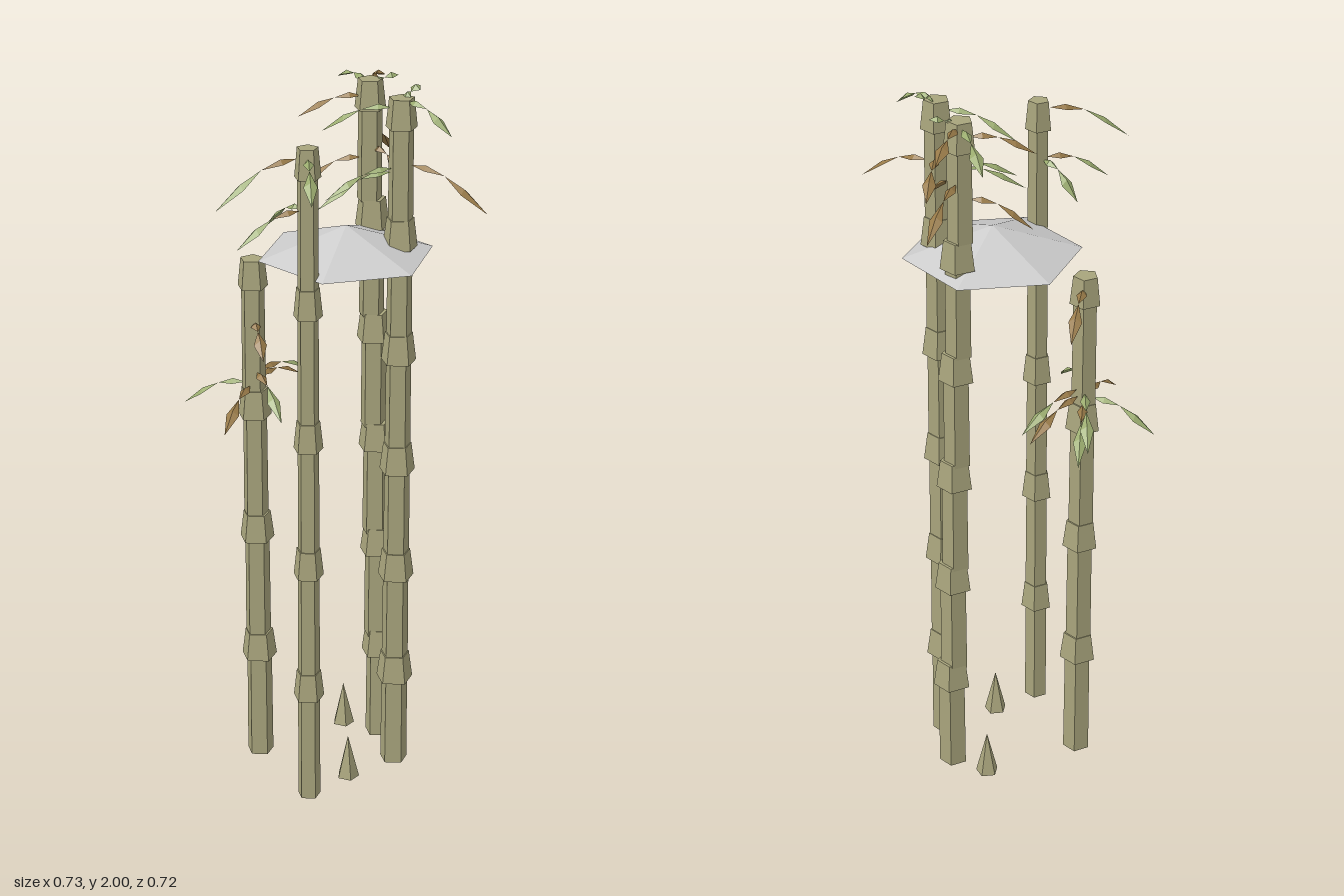
import * as THREE from 'three';

const mat = (color, side = THREE.FrontSide) =>
  new THREE.MeshStandardMaterial({ color, flatShading: true, side });
const stalkMat = mat(0xa8a47c);
const leafMats = {
  g: mat(0x9aab6e, THREE.DoubleSide),
  b: mat(0x987a48, THREE.DoubleSide),
};
const V = (x, y, z) => new THREE.Vector3(x, y, z);

function add(parent, name, geometry, material, x = 0, y = 0, z = 0) {
  const mesh = new THREE.Mesh(geometry, material);
  mesh.name = name;
  mesh.position.set(x, y, z);
  parent.add(mesh);
  return mesh;
}

// Diamond leaf, folded along its midrib
function leafGeometry(from, to, width) {
  const dir = to.clone().sub(from);
  const side = V(-dir.z, 0, dir.x).setLength(width / 2);
  const belly = from.clone().lerp(to, 0.45);
  const left = belly.clone().add(side);
  const right = belly.clone().sub(side);
  belly.y += 0.012;
  const tris = [from, left, belly, belly, left, to, from, belly, right, belly, to, right];
  const geometry = new THREE.BufferGeometry().setFromPoints(tris);
  geometry.computeVertexNormals();
  return geometry;
}

// Spray: a short leaf rising from the stalk, then a longer drooping one
function addSpray(parent, cx, cz, [y, tx, ty, tz, inner, outer]) {
  const tip = V(tx, ty, tz);
  const start = V(cx, y, cz).lerp(V(tx, y, tz), 0.12);
  const joint = V(cx, y, cz).lerp(V(tx, y, tz), 0.5);
  joint.y = y + (ty - y) * 0.25 + 0.01;
  add(parent, 'innerLeaf', leafGeometry(start, joint, 0.028), leafMats[inner]);
  add(parent, 'outerLeaf', leafGeometry(joint, tip, 0.036), leafMats[outer]);
}

// Stalk: tapering five-sided segments, each ending in a flared node
function addStalk(root, { name, base, top, height, segments, radius, sprays }) {
  const stalk = new THREE.Group();
  stalk.name = name;
  root.add(stalk);
  const step = height / segments;
  const turn = Math.PI / 2;
  const at = (t) => [base[0] + (top[0] - base[0]) * t, base[1] + (top[1] - base[1]) * t];
  for (let i = 0; i < segments; i++) {
    const t = (i + 1) / segments;
    const [x, z] = at(t);
    const r = radius * (1 - 0.14 * t);
    const body = new THREE.CylinderGeometry(r * 0.95, r, step, 5, 1, false, turn);
    add(stalk, 'segment', body, stalkMat, x, step * (i + 0.5), z);
    const node = new THREE.CylinderGeometry(r * 1.06, r * 1.34, 0.08, 5, 1, false, turn);
    // the last node is slimmer
    if (i === segments - 1) node.scale(0.93, 1, 0.93);
    const lift = i === segments - 1 ? 0.002 : 0.02 * (1 - t);
    add(stalk, 'node', node, stalkMat, x, step * (i + 1) - 0.04 + lift, z);
  }
  sprays.forEach((s) => addSpray(stalk, top[0], top[1], s));
}

// Spray rows: start height, tip x, y, z, inner and outer leaf colour
const stalks = [
  {
    name: 'shortStalk', base: [-0.182, -0.1], top: [-0.189, -0.103],
    height: 1.518, segments: 4, radius: 0.04,
    sprays: [
      [1.16, -0.365, 1.08, -0.2, 'g', 'g'],
      [1.18, -0.165, 1.1, -0.31, 'g', 'g'],
      [1.15, -0.14, 1.06, -0.31, 'b', 'g'],
      [1.49, -0.125, 1.4, -0.26, 'b', 'b'],
      [1.16, -0.31, 1.09, 0.07, 'b', 'b'],
      [1.17, -0.02, 1.11, -0.255, 'b', 'b'],
      [1.19, 0, 1.13, -0.24, 'b', 'g'],
      [1.2, -0.16, 1.12, 0.1, 'b', 'g'],
      [1.34, -0.19, 1.27, 0.02, 'b', 'b'],
    ],
  },
  {
    name: 'frontStalk', base: [-0.107, 0.172], top: [-0.104, 0.17],
    height: 1.903, segments: 5, radius: 0.034,
    sprays: [
      [1.88, -0.355, 1.77, 0.215, 'b', 'g'],
      [1.74, -0.3, 1.66, 0.21, 'b', 'g'],
      [1.88, -0.14, 1.81, 0.355, 'g', 'g'],
      [1.74, -0.19, 1.66, 0.05, 'g', 'g'],
    ],
  },
  {
    name: 'backStalk', base: [0.185, -0.115], top: [0.142, -0.125],
    height: 1.983, segments: 6, radius: 0.041,
    sprays: [
      [1.97, 0.115, 1.93, -0.36, 'g', 'g'],
      [1.82, 0.25, 1.73, -0.31, 'b', 'b'],
      [1.97, 0.225, 1.94, -0.305, 'b', 'b'],
      [1.94, -0.05, 1.89, -0.145, 'b', 'b'],
      [1.77, -0.04, 1.69, -0.165, 'b', 'b'],
      [1.8, 0.2, 1.74, 0, 'b', 'b'],
      [1.97, 0.22, 1.99, -0.125, 'g', 'g'],
    ],
  },
  {
    name: 'leftStalk', base: [0.178, 0.042], top: [0.181, 0.04],
    height: 1.975, segments: 6, radius: 0.041,
    sprays: [
      [1.95, -0.015, 1.88, -0.035, 'g', 'g'],
      [1.78, -0.055, 1.7, 0.07, 'g', 'g'],
      [1.79, -0.035, 1.73, 0.085, 'g', 'g'],
      [1.8, 0.365, 1.7, 0.215, 'b', 'b'],
      [1.97, 0.27, 1.91, 0.195, 'g', 'g'],
      [1.82, 0.23, 1.76, -0.125, 'b', 'b'],
      [1.97, 0.24, 1.998, 0.01, 'g', 'g'],
    ],
  },
];

export function createModel() {
  const root = new THREE.Group();
  root.name = 'bambooGrove';
  stalks.forEach((s) => addStalk(root, s));

  // Shallow six-sided canopy, open underneath
  const canopy = new THREE.ConeGeometry(0.24, 0.08, 6, 1, true, Math.PI / 2);
  add(root, 'canopy', canopy, mat(0xcccccc, THREE.DoubleSide), 0.043, 1.59, 0.004);

  // Young shoots at the ground
  for (const [x, z] of [[0.025, 0.105], [0.09, -0.19]]) {
    add(root, 'shoot', new THREE.ConeGeometry(0.032, 0.13, 5), stalkMat, x, 0.065, z);
  }
  return root;
}
